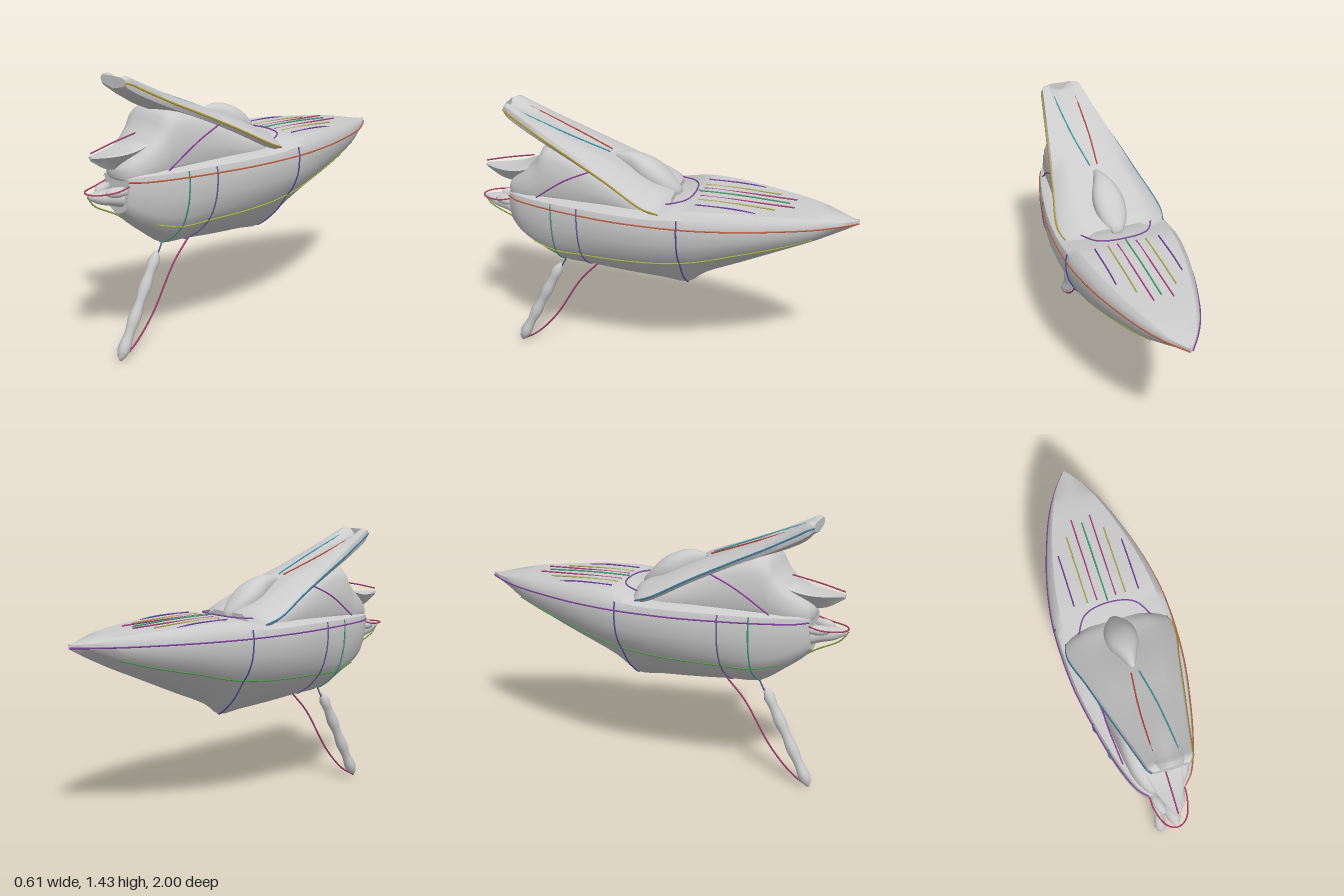
import * as THREE from 'three';
import { toCreasedNormals } from 'three/addons/utils/BufferGeometryUtils.js';

const grey = new THREE.MeshStandardMaterial({ color: 0xcccccc, side: THREE.DoubleSide });

// Mirrors a half section (bottom centre, up the +x side, to top centre) into a closed ring.
function ring(z, half) {
  const right = half.map(([x, y]) => new THREE.Vector3(x, y, z));
  const left = right.slice(1, -1).reverse().map(p => new THREE.Vector3(-p.x, p.y, z));
  return right.concat(left);
}

// Skins rings ordered along +z, smoothing between stations, and closes both ends.
function loft(name, rings, crease = 0.7, steps = 3) {
  const n = rings[0].length, m = (rings.length - 1) * steps + 1;
  const columns = rings[0].map((_, j) => new THREE.CatmullRomCurve3(rings.map(r => r[j]), false, 'centripetal'));
  const pos = [], idx = [];
  for (let i = 0; i < m; i++) for (const c of columns) pos.push(...c.getPoint(i / (m - 1)).toArray());
  for (let i = 0; i < m - 1; i++) for (let j = 0; j < n; j++) {
    const a = i * n + j, b = i * n + (j + 1) % n;
    idx.push(a, b, b + n, a, b + n, a + n);
  }
  const h = n / 2, last = (m - 1) * n;
  // Strip caps work for the mirrored outline, concave or not.
  for (let j = 0; j < h; j++) {
    const a = j, b = j + 1, c = (n - j - 1) % n, d = (n - j) % n;
    idx.push(last + a, last + b, last + c, last + a, last + c, last + d);
    idx.push(a, c, b, a, d, c);
  }
  const g = new THREE.BufferGeometry();
  g.setAttribute('position', new THREE.Float32BufferAttribute(pos, 3));
  g.setIndex(idx);
  const mesh = new THREE.Mesh(toCreasedNormals(g, crease), grey);
  mesh.name = name;
  return mesh;
}

// Thin coloured guide line through a few points.
function wire(name, points, color, r = 0.004) {
  const curve = new THREE.CatmullRomCurve3(points.map(p => new THREE.Vector3(...p)), false, 'centripetal');
  const mesh = new THREE.Mesh(new THREE.TubeGeometry(curve, points.length * 6, r, 5),
    new THREE.MeshStandardMaterial({ color }));
  mesh.name = name;
  return mesh;
}

// Hull stations: z, half width, deck height, chine height, keel height
const HULL = [
  [-1, 0.004, 0.955, 0.945, 0.935], [-0.9, 0.075, 0.975, 0.92, 0.88], [-0.78, 0.14, 0.995, 0.87, 0.82],
  [-0.6, 0.205, 1.01, 0.82, 0.74], [-0.4, 0.26, 1.025, 0.775, 0.65], [-0.22, 0.29, 1.03, 0.73, 0.57],
  [-0.13, 0.297, 1.02, 0.715, 0.505], [0, 0.298, 1.0, 0.70, 0.515], [0.2, 0.285, 1.0, 0.69, 0.53],
  [0.4, 0.25, 0.995, 0.685, 0.55], [0.55, 0.215, 0.99, 0.68, 0.565], [0.68, 0.175, 0.985, 0.71, 0.65],
  [0.77, 0.135, 0.98, 0.76, 0.72], [0.82, 0.09, 0.96, 0.80, 0.77],
];
const hullHalf = ([z, w, deck, chine, keel]) => {
  const sheer = Math.min(0.95, deck - 0.005), mid = (sheer + chine) / 2;
  return [[0, keel], [w * 0.12, keel + (chine - keel) * 0.1], [w * 0.45, keel + (chine - keel) * 0.5],
    [w * 0.72, chine], [w * 0.85, chine + (mid - chine) * 0.4], [w * 0.97, mid + 0.01],
    [w, sheer - 0.01], [w * 0.97, sheer + (deck - sheer) * 0.5], [w * 0.85, deck - 0.006], [0, deck]];
};

// Hood stations: z, half width, edge top, centre top, edge underside, centre underside
const HOOD = [
  [-0.07, 0.2, 1.0, 1.03, 0.98, 0.98], [-0.03, 0.265, 1.01, 1.055, 0.98, 0.98],
  [0.05, 0.28, 1.045, 1.085, 1.005, 1.02], [0.25, 0.235, 1.15, 1.185, 1.11, 1.12],
  [0.45, 0.19, 1.25, 1.265, 1.205, 1.2], [0.62, 0.15, 1.335, 1.34, 1.28, 1.25],
  [0.76, 0.118, 1.41, 1.385, 1.35, 1.32], [0.8, 0.108, 1.43, 1.4, 1.375, 1.36], [0.825, 0.09, 1.425, 1.395, 1.395, 1.375],
];
const hoodHalf = ([z, w, et, ct, eb, cb]) => [[0, cb], [w * 0.55, (cb + eb) / 2], [w * 0.92, eb],
  [w, (et + eb) / 2], [w * 0.95, et], [w * 0.6, Math.max(et, ct) + 0.008], [w * 0.25, ct + 0.005], [0, ct]];

// Rounded section for the head, bump and beaks
function roundHalf(w, lo, hi, power = 0.75) {
  const half = [];
  for (let i = 0; i <= 10; i++) {
    const a = -Math.PI / 2 + Math.PI * i / 10, c = Math.max(0, Math.cos(a)), s = Math.sin(a);
    half.push([i % 10 ? w * c ** power : 0, (lo + hi) / 2 + (hi - lo) / 2 * Math.sign(s) * Math.abs(s) ** power]);
  }
  return half;
}
const roundLoft = (name, stations, power) =>
  loft(name, stations.map(([z, w, lo, hi]) => ring(z, roundHalf(w, lo, hi, power))), 1.2);

export function createModel() {
  const g = new THREE.Group();
  g.name = 'model';
  g.add(loft('hull', HULL.map(s => ring(s[0], hullHalf(s)))));
  g.add(loft('hood', HOOD.map(s => ring(s[0], hoodHalf(s)))));

  g.add(roundLoft('head', [[-0.04, 0.2, 0.93, 1.01], [0.1, 0.225, 0.92, 1.07], [0.3, 0.205, 0.92, 1.17],
    [0.48, 0.185, 0.92, 1.25], [0.6, 0.17, 0.92, 1.25], [0.65, 0.16, 0.92, 1.17],
    [0.73, 0.14, 0.92, 1.09], [0.81, 0.09, 0.93, 1.02], [0.83, 0.03, 0.95, 0.99]], 0.55));
  g.add(roundLoft('hoodBump', [[-0.09, 0.02, 1.0, 1.04], [-0.04, 0.06, 1.0, 1.1], [0.03, 0.08, 1.02, 1.165],
    [0.1, 0.075, 1.05, 1.2], [0.17, 0.045, 1.1, 1.215], [0.25, 0.012, 1.16, 1.205]], 0.9));

  // Upper beak: flat on top, wedge below
  g.add(loft('upperBeak', [[0.66, 0.11, 0.98, 1.125], [0.78, 0.085, 0.985, 1.085], [0.88, 0.055, 1.0, 1.075],
    [0.97, 0.012, 1.055, 1.075]].map(([z, w, lo, hi]) => ring(z, [[0, lo], [w * 0.5, (lo + hi) / 2], [w, hi - 0.008], [w * 0.9, hi], [0, hi]]))));

  // Lower beak with a small lump on each side
  g.add(roundLoft('lowerBeak', [[0.78, 0.07, 0.79, 0.9], [0.86, 0.05, 0.82, 0.9],
    [0.93, 0.035, 0.84, 0.905], [0.99, 0.008, 0.875, 0.895]], 0.9));
  for (const s of [-1, 1]) {
    const lump = new THREE.Mesh(new THREE.SphereGeometry(1, 10, 8), grey);
    lump.scale.set(0.025, 0.025, 0.06);
    lump.position.set(s * 0.055, 0.895, 0.86);
    lump.rotation.y = -s * 0.3;
    lump.name = 'beakLump';
    g.add(lump);
  }

  // Leaning strut, knobbly along its length
  const profile = [[0, 0], [0.02, 0.025]];
  for (let i = 1; i < 16; i++) profile.push([0.028 + 0.004 * Math.sin(i * 1.3), 0.025 + i * 0.033]);
  profile.push([0.018, 0.555], [0, 0.58]);
  const strut = new THREE.Mesh(new THREE.LatheGeometry(profile.map(p => new THREE.Vector2(...p)), 10), grey);
  strut.position.set(0, 0.012, 0.835);
  strut.rotation.x = -0.46;
  strut.name = 'strut';
  g.add(strut);

  // Strut guide lines
  g.add(wire('strutCord', [[0, 0.55, 0.37], [0, 0.44, 0.47], [0, 0.2, 0.62], [0, 0.07, 0.74], [0, 0.015, 0.83]], 0xa04070, 0.005));
  g.add(wire('strutStay', [[0, 0.57, 0.545], [0, 0.3, 0.68], [0, 0.02, 0.82]], 0x5050a0));

  // Guide lines repeated on both sides
  for (const s of [-1, 1]) {
    const along = (pick, from = 0, to = HULL.length) => HULL.slice(from, to).map(h => {
      const [x, y] = hullHalf(h)[pick];
      return [s * (x + 0.002), y, h[0]];
    });
    g.add(wire('sheerLine', along(6), s > 0 ? 0xc06040 : 0x8040a0));
    g.add(wire('chineLine', along(3, 2, 12), s > 0 ? 0xa8b840 : 0x50a050));
    g.add(wire('hoodEdge', HOOD.slice(1).map(([z, w, et, , eb]) => [s * w, (et + eb) / 2, z]), s > 0 ? 0xb09830 : 0x4080a0, 0.005));
    g.add(wire('hoodGroove', [[s * 0.02, 1.21, 0.28], [s * 0.045, 1.29, 0.48], [s * 0.06, 1.41, 0.78]], s > 0 ? 0x40a0b0 : 0xc05040));
    g.add(wire('headLine', [[s * 0.17, 0.98, 0.64], [s * 0.195, 1.1, 0.47], [s * 0.2, 1.17, 0.32]], 0x9040a0));
    [[0.05, 0xb04080], [0.1, 0xb0b050], [0.17, 0x7040a0]].forEach(([x, color], i) =>
      g.add(wire('deckStripe', [[s * x, 1.012, -0.68 + i * 0.09], [s * x, 1.024, -0.4], [s * x, 1.028, -0.2]], color)));
    // Rib frames around the hull
    for (const [k, color] of [[6, 0x5050a0], [9, 0x7060a0], [10, 0x40a080]]) {
      g.add(wire('ribLine', hullHalf(HULL[k]).slice(0, 8).map(([x, y]) => [s * x * 1.005, y - 0.001, HULL[k][0]]), color));
    }
  }
  g.add(wire('deckArc', [[-0.2, 1.02, -0.03], [-0.13, 1.03, -0.14], [0, 1.035, -0.17], [0.13, 1.03, -0.14], [0.2, 1.02, -0.03]], 0x8050a0));
  g.add(wire('deckCentre', [[0, 1.012, -0.65], [0, 1.029, -0.4], [0, 1.034, -0.18]], 0x40a070));

  // Beak outlines
  g.add(wire('lowerBeakLoop', [[-0.09, 0.93, 0.78], [-0.085, 0.905, 0.88], [-0.05, 0.9, 0.97], [0, 0.9, 0.995],
    [0.05, 0.9, 0.97], [0.085, 0.905, 0.88], [0.09, 0.93, 0.78]], 0xb04060));
  g.add(wire('lowerBeakKeel', [[0, 0.89, 0.995], [0, 0.84, 0.96], [0, 0.77, 0.83], [0, 0.7, 0.73], [0, 0.565, 0.55]], 0x80a040));
  g.add(wire('upperBeakLine', [[0, 1.145, 0.7], [0, 1.12, 0.84], [0, 1.09, 0.97]], 0xa04070));
  return g;
}
